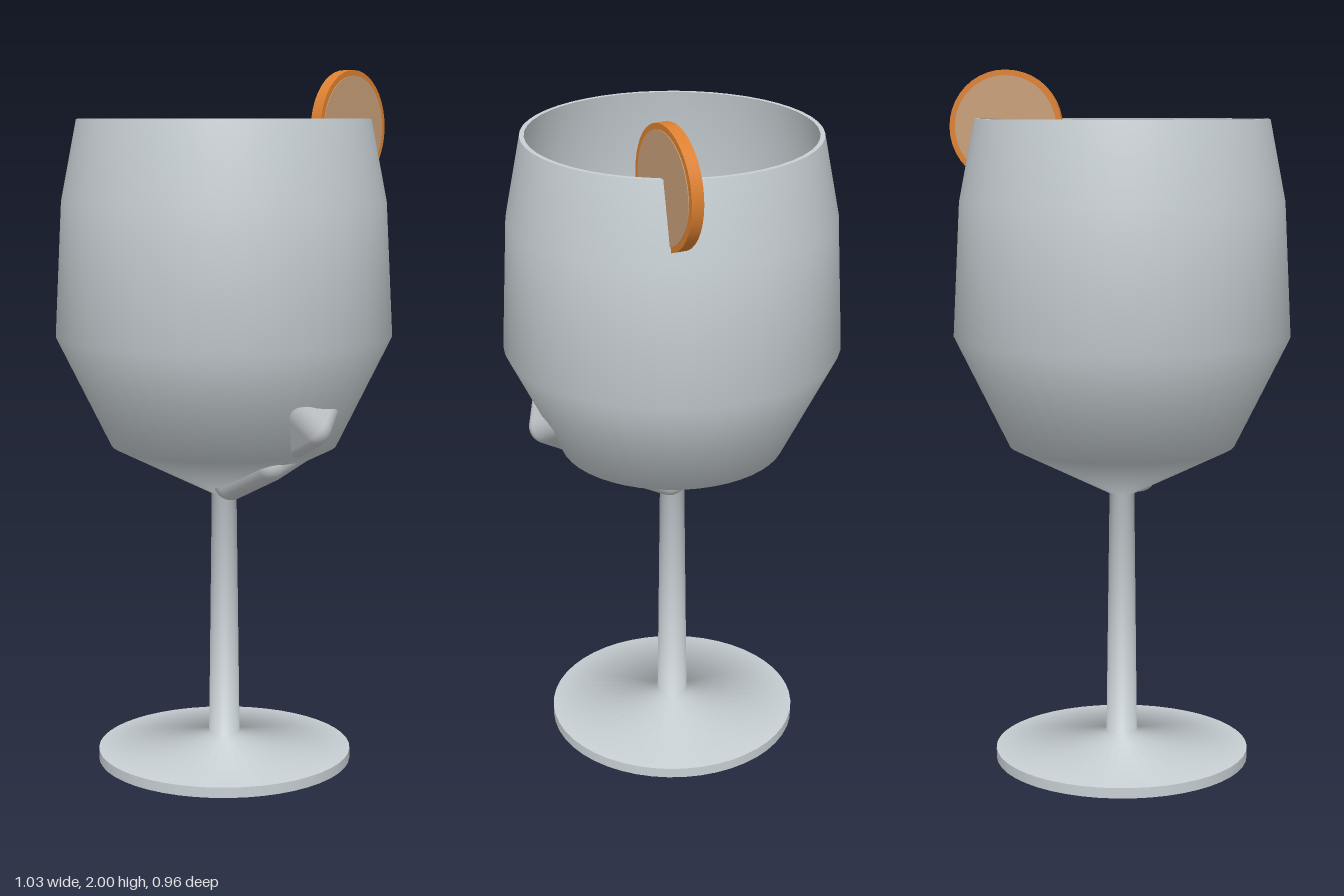
import * as THREE from 'three';
import { RoundedBoxGeometry } from 'three/addons/geometries/RoundedBoxGeometry.js';

const material = (name, color) => {
  const m = new THREE.MeshStandardMaterial({ color });
  m.name = name;
  return m;
};

export function createModel() {
  const glass = material('glass', 0xc8d0d4);
  const ice = material('ice', 0xc8ccd0);
  const drink = material('drink', 0xe5a644);
  const rind = material('rind', 0xdd8030);
  const pulp = material('pulp', 0xc89f78);

  const model = new THREE.Group();
  const add = (parent, name, geometry, mat) => {
    const mesh = new THREE.Mesh(geometry, mat);
    mesh.name = name;
    parent.add(mesh);
    return mesh;
  };

  // Goblet: separate turned strips keep the foot and rim edges sharp
  const goblet = new THREE.Group();
  goblet.name = 'goblet';
  goblet.position.x = -0.04;
  model.add(goblet);
  const turn = (name, points, mat) => add(goblet, name,
    new THREE.LatheGeometry(points.map(([r, y]) => new THREE.Vector2(r, y)), 48), mat);

  turn('footUnderside', [[0, 0], [0.37, 0]], glass);
  turn('footEdge', [[0.37, 0], [0.37, 0.03]], glass);
  turn('footStemAndBowl', [[0.37, 0.03], [0.045, 0.075], [0.036, 0.79], [0.325, 0.935],
    [0.48, 1.25], [0.46, 1.63], [0.415, 1.86]], glass);
  turn('rim', [[0.415, 1.86], [0.402, 1.86]], glass);
  turn('bowlInside', [[0.402, 1.86], [0.446, 1.63], [0.466, 1.25], [0.315, 0.95], [0, 0.805]], glass);

  // Drink filling the bowl
  turn('drinkBody', [[0, 0.815], [0.31, 0.96], [0.461, 1.25], [0.45, 1.54]], drink);
  turn('drinkSurface', [[0.452, 1.54], [0, 1.54]], drink);

  // Ice cubes
  const cube = (name, x, y, z) => {
    const mesh = add(model, name, new RoundedBoxGeometry(0.28, 0.28, 0.28, 4, 0.05), ice);
    mesh.position.set(x, y, z);
    return mesh;
  };
  const tilt = (mesh, a, b, c) => mesh.quaternion.setFromRotationMatrix(
    new THREE.Matrix4().makeBasis(...[a, b, c].map((v) => new THREE.Vector3(...v).normalize())));

  cube('floatingIceCube', 0.12, 1.455, -0.075).rotation.set(0.03, 0.05, 0.02);
  tilt(cube('middleIceCube', 0.018, 1.087, 0.223),
    [-0.7, 0.71, -0.08], [0.589, 0.509, -0.628], [-0.405, -0.487, -0.774]);
  tilt(cube('bottomIceCube', 0.014, 0.973, 0.09),
    [0.88, 0.27, -0.39], [-0.4, 0.863, -0.305], [0.255, 0.424, 0.867]);

  // Fruit slice on the rim
  const slice = new THREE.Group();
  slice.name = 'fruitSlice';
  slice.position.set(0.36, 1.835, -0.003);
  slice.rotation.y = 0.478;
  model.add(slice);
  const disc = (name, radius, depth, mat) => add(slice, name,
    new THREE.CylinderGeometry(radius, radius, depth, 40).rotateX(Math.PI / 2), mat);
  disc('sliceRind', 0.165, 0.034, rind);
  disc('slicePulp', 0.149, 0.038, pulp);

  return model;
}
